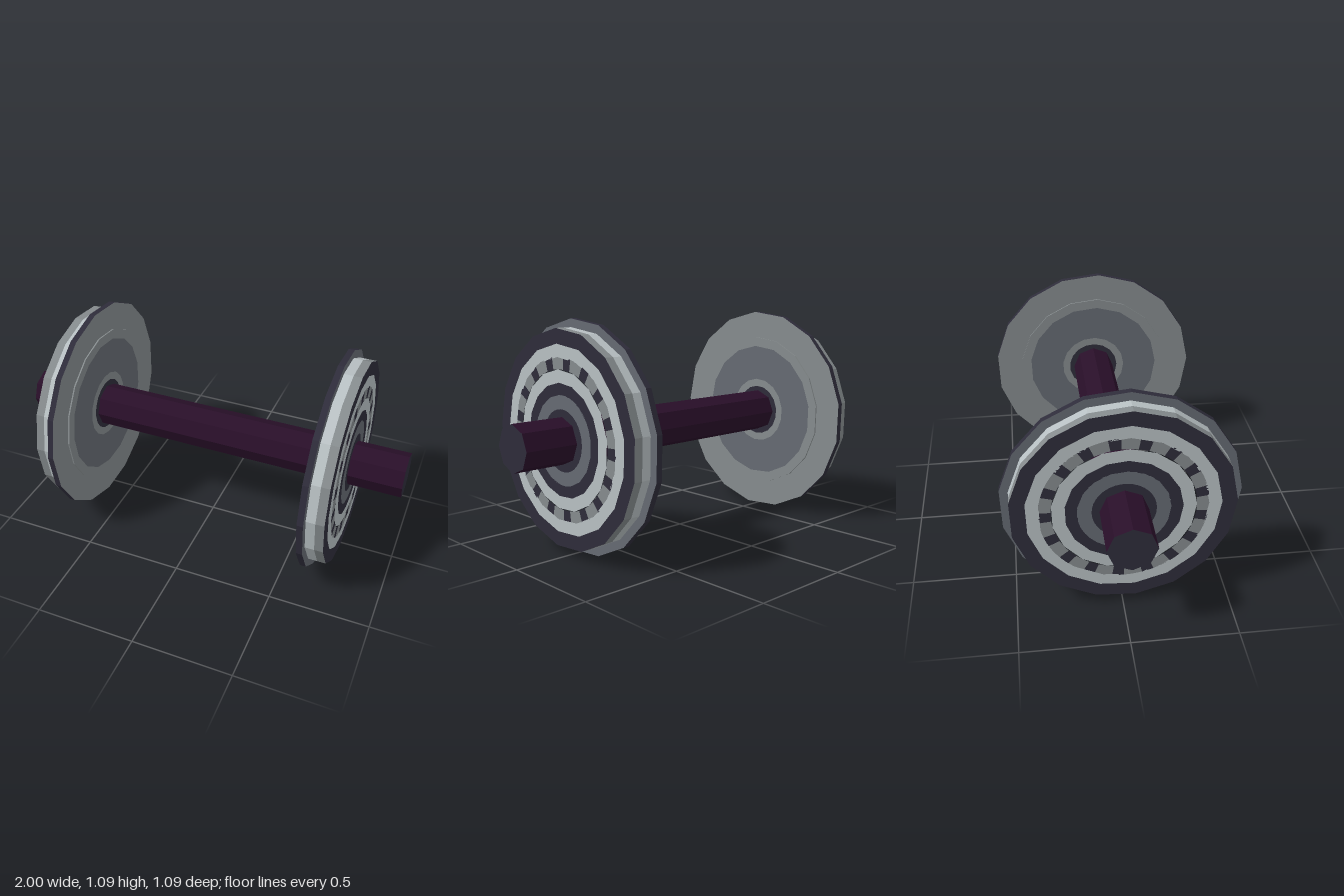
import * as THREE from 'three';

const mat = (name, color) => {
  const m = new THREE.MeshStandardMaterial({ color, flatShading: true });
  m.name = name;
  return m;
};

export function createModel() {
  const navy = mat('darkNavy', 0x2e2c3a);
  const light = mat('lightSteel', 0xb8c0c3);
  const grey = mat('midGrey', 0x858b8d);
  const slate = mat('slateGrey', 0x656a72);
  const purple = mat('axlePurple', 0x290f29);

  const model = new THREE.Group();
  model.name = 'wheelset';
  const SIDES = 17, R = 0.55, AXIS = 0.55;
  const deg = Math.PI / 180;
  const PHASE = 93.7 * deg; // first rim corner, just off the top

  const add = (group, name, geo, material) => {
    const mesh = new THREE.Mesh(geo, material);
    mesh.name = name;
    group.add(mesh);
    return mesh;
  };

  // Flat ring facing along +x (dir 1) or -x (dir -1), with matching corners
  const ring = (rIn, rOut, x, dir, segs = SIDES, start = PHASE, len = Math.PI * 2) => {
    const s = dir > 0 ? start : Math.PI - start - len;
    const g = new THREE.RingGeometry(rIn, rOut, segs, 1, s, len);
    return g.rotateY(dir * Math.PI / 2).translate(x, 0, 0);
  };

  // Open band around the x axis
  const band = (r, xa, xb) =>
    new THREE.CylinderGeometry(r, r, Math.abs(xb - xa), SIDES, 1, true, -86.3 * deg)
      .rotateZ(-Math.PI / 2).translate((xa + xb) / 2, 0, 0);

  // Axle with dark end caps
  const axleGeo = new THREE.CylinderGeometry(0.11, 0.11, 2, 8).rotateZ(-Math.PI / 2);
  add(model, 'axle', axleGeo, [purple, navy, navy]).position.y = AXIS;

  for (const s of [1, -1]) {
    const wheel = new THREE.Group();
    wheel.name = s > 0 ? 'leftWheel' : 'rightWheel';
    wheel.position.y = AXIS;
    model.add(wheel);
    const face = 0.737 * s, flange = 0.65 * s, back = 0.62 * s, hub = 0.613 * s;

    // Tread and flange edges
    add(wheel, 'treadOuter', band(0.51, 0.695 * s, face), grey);
    add(wheel, 'treadInner', band(0.51, flange, 0.695 * s), light);
    add(wheel, 'flangeEdge', band(R, back, flange), navy);
    add(wheel, 'flangeFront', ring(0.5, R, flange, s), slate);

    // Painted outer face, from rim to hub
    const outer = [
      ['rimRing', 0.44, 0.51, navy, SIDES],
      ['outerLightRing', 0.38, 0.44, light, SIDES],
      ['innerLightRing', 0.265, 0.325, light, SIDES],
      ['hubDarkRing', 0.21, 0.265, navy, SIDES],
      ['hubSlateRing', 0.145, 0.21, slate, SIDES * 2],
      ['hubCentre', 0.1, 0.145, navy, SIDES * 2],
    ];
    for (const [name, a, b, m, n] of outer) add(wheel, name, ring(a, b, face, s, n), m);

    // Holed band: alternating grey stretches and dark patches
    const step = 2 * Math.PI / SIDES, half = 4.2 * deg;
    for (let i = 0; i < SIDES; i++) {
      const mid = PHASE + (i + 0.5) * step;
      add(wheel, 'darkPatch', ring(0.325, 0.38, face, s, 1, mid - half, 2 * half), navy);
      add(wheel, 'greyStretch', ring(0.325, 0.38, face, s, 2, mid + half, step - 2 * half), grey);
    }

    // Inner face with a slightly raised web
    add(wheel, 'flangeBack', ring(0.41, R, back, -s), grey);
    add(wheel, 'webEdge', band(0.41, hub, back), grey);
    const inner = [
      ['webRim', 0.36, 0.41, grey],
      ['webDisc', 0.175, 0.36, slate],
      ['collarRing', 0.135, 0.175, grey],
      ['collarCentre', 0.1, 0.135, navy],
    ];
    for (const [name, a, b, m] of inner) add(wheel, name, ring(a, b, hub, -s), m);
  }
  return model;
}
